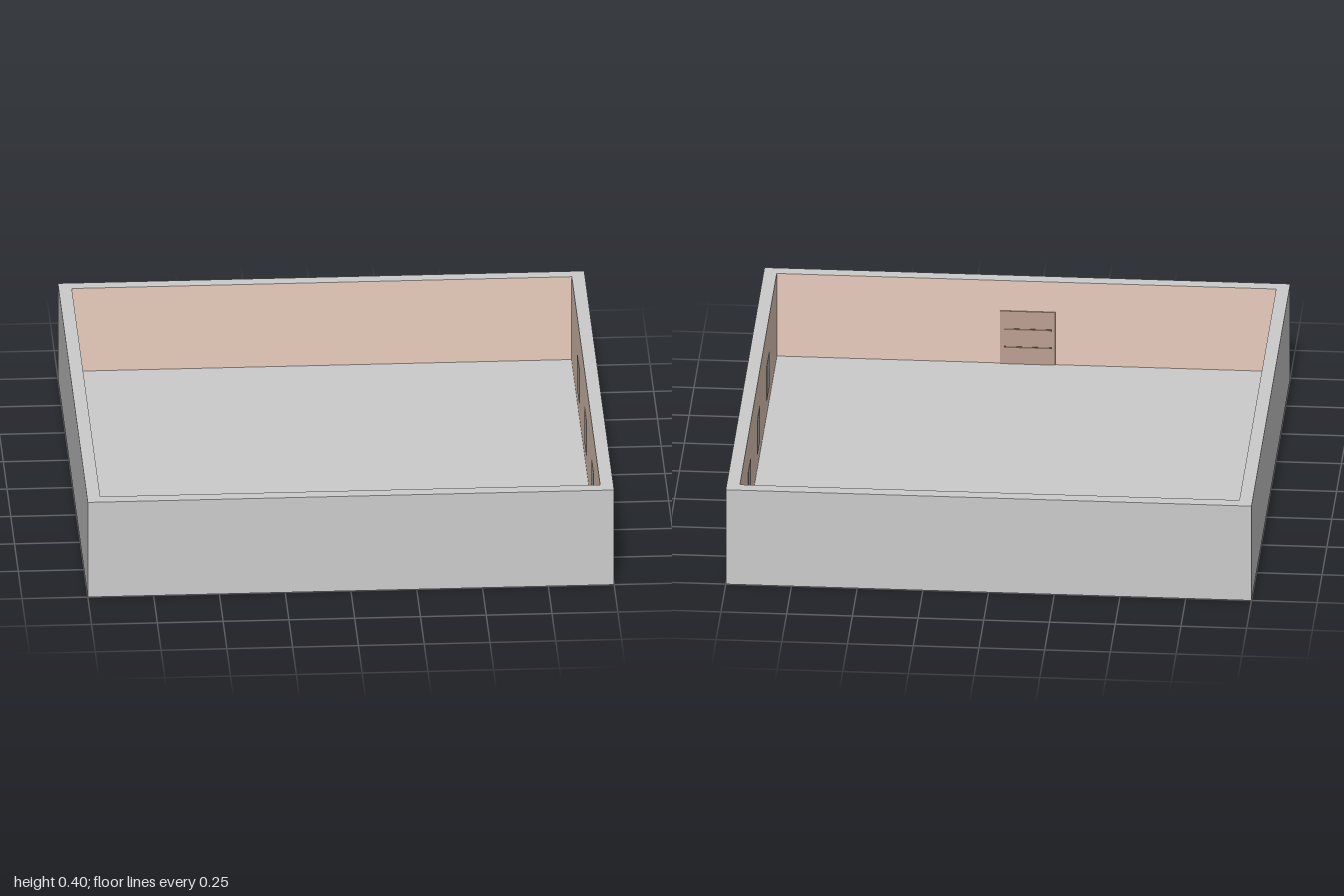
import * as THREE from 'three';

const H = 0.395, T = 0.05, FLOOR = 0.05;

export function createModel() {
  const model = new THREE.Group();
  const grey = new THREE.MeshStandardMaterial({ color: 0xcccccc });
  const plaster = new THREE.MeshStandardMaterial({ color: 0xe8cdbd });
  const wood = new THREE.MeshStandardMaterial({ color: 0xbda091 });
  const darkWood = new THREE.MeshStandardMaterial({ color: 0x806a60 });
  const glass = new THREE.MeshStandardMaterial({ color: 0xaeaeae });

  const add = (name, geometry, material, x, y, z, parent = model) => {
    const mesh = new THREE.Mesh(geometry, material);
    mesh.name = name;
    mesh.position.set(x, y, z);
    parent.add(mesh);
    return mesh;
  };

  // Square ring of walls, standing on the ground
  const outline = new THREE.Shape();
  outline.moveTo(-1, -1).lineTo(1, -1).lineTo(1, 1).lineTo(-1, 1).closePath();
  const r = 1 - T;
  const room = new THREE.Path();
  room.moveTo(-r, -r).lineTo(-r, r).lineTo(r, r).lineTo(r, -r).closePath();
  outline.holes.push(room);
  const walls = new THREE.ExtrudeGeometry(outline, { depth: H, bevelEnabled: false });
  walls.rotateX(-Math.PI / 2);
  add('walls', walls, grey, 0, 0, 0);

  // Floor slab inside the ring
  add('floor', new THREE.BoxGeometry(2 * r, FLOOR, 2 * r), grey, 0, FLOOR / 2, 0);

  // Coloured lining on the four inner wall faces
  const liningHeight = H - FLOOR;
  for (let i = 0; i < 4; i++) {
    const a = i * Math.PI / 2, d = r - 0.001;
    const lining = add('wallLining', new THREE.PlaneGeometry(2 * d, liningHeight), plaster,
      -Math.sin(a) * d, FLOOR + liningHeight / 2, -Math.cos(a) * d);
    lining.rotation.y = a;
  }

  // Windows through the left wall
  for (const z of [0.48, -0.005, -0.48]) {
    add('window', new THREE.BoxGeometry(T + 0.005, 0.145, 0.125), glass, 1 - T / 2, 0.183, z);
  }

  // Door on the inside of the front wall, with two cross grooves
  const door = new THREE.Group();
  door.name = 'door';
  model.add(door);
  add('doorPanel', new THREE.BoxGeometry(0.21, 0.22, 0.006), wood, -0.005, FLOOR + 0.11, r - 0.003, door);
  for (const y of [0.12, 0.195]) {
    add('doorGroove', new THREE.BoxGeometry(0.18, 0.006, 0.002), darkWood, -0.005, y, r - 0.0065, door);
  }
  return model;
}
